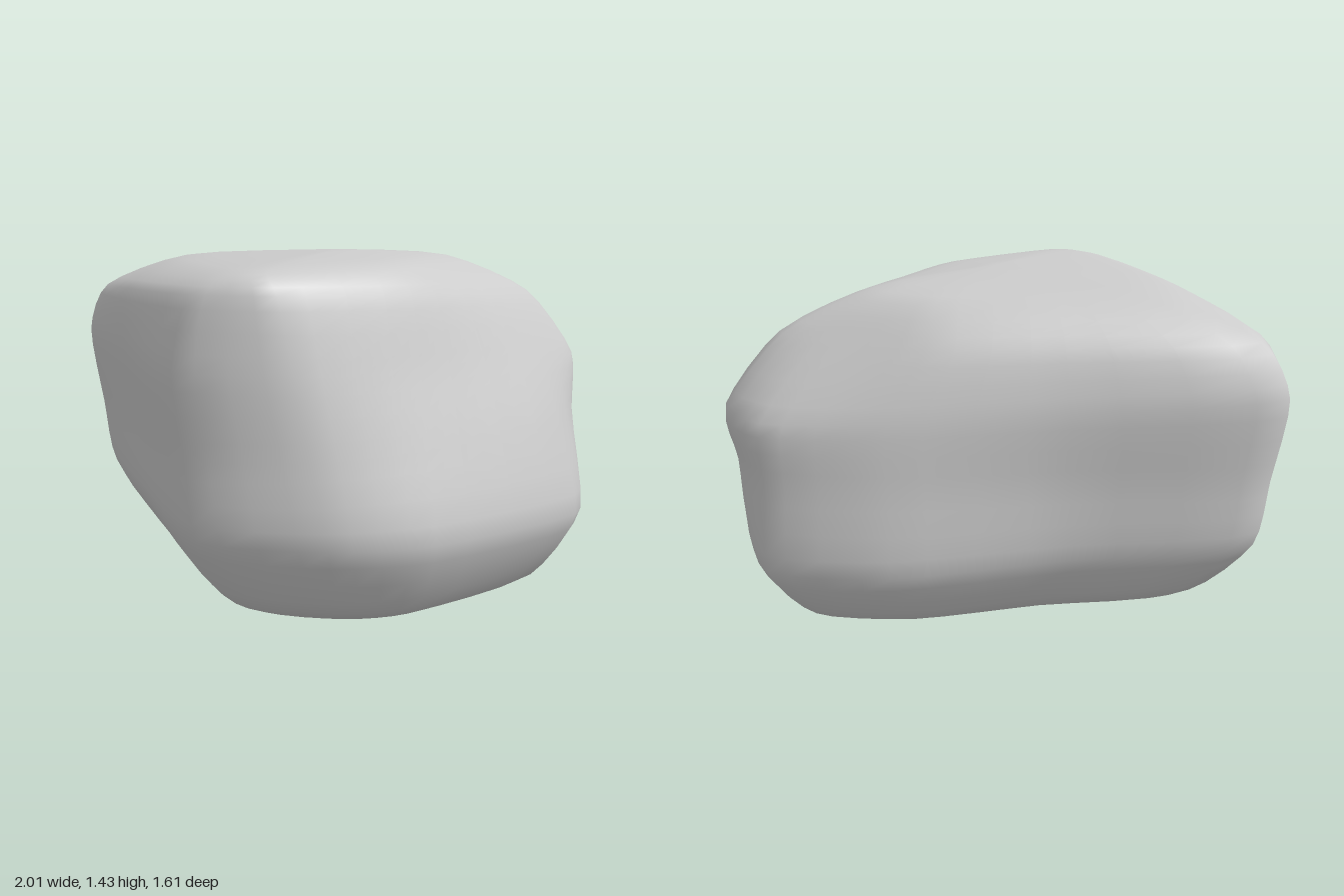
import * as THREE from 'three';

// Plan outlines [x, z], running left, front, right, back
const LOWER = [[-0.88, 0.05], [-0.79, 0.6], [-0.36, 0.79], [0.04, 0.79], [0.75, 0.51],
  [0.92, 0.1], [0.89, -0.39], [0.46, -0.6], [-0.2, -0.66], [-0.9, -0.75]];
const UPPER = [[-0.94, -0.05], [-0.85, 0.56], [-0.46, 0.71], [0.05, 0.59], [0.68, 0.3],
  [0.99, -0.02], [0.88, -0.32], [0.45, -0.51], [-0.2, -0.64], [-0.98, -0.78]];
const SHOULDER = [[-0.91, -0.1], [-0.78, 0.52], [-0.5, 0.66], [0.05, 0.49], [0.54, 0.2],
  [0.77, -0.03], [0.64, -0.2], [0.29, -0.44], [-0.2, -0.56], [-0.9, -0.69]];
const CROWN = [[-0.68, -0.1], [-0.62, 0.42], [-0.5, 0.56], [0, 0.38], [0.26, 0.12],
  [0.4, -0.03], [0.38, -0.14], [0.2, -0.28], [-0.2, -0.38], [-0.6, -0.42]];
const PLANS = [LOWER, UPPER, SHOULDER, CROWN];

// Levels: height, plan (fractions blend), scale x, scale z, shift x, shift z, slope x, slope z
const LEVELS = [
  [0.00, 0, 0, 0, -0.04, 0.17, 0, 0],
  [0.06, 0, 0.46, 0.46, 0, 0.06, -0.02, -0.08],
  [0.175, 0, 0.8, 0.82, 0, 0.01, -0.04, -0.06],
  [0.43, 0, 1, 1, 0, 0, -0.04, -0.02],
  [0.74, 0.5, 1, 1, 0, 0, 0, 0],
  [1.01, 1, 1, 1, 0, 0, -0.05, 0],
  [1.26, 2, 1, 1, 0, 0, -0.03, 0.05],
  [1.39, 3, 1, 1, 0, 0, 0, 0],
  [1.43, 3, 0, 0, -0.12, 0.08, 0, 0],
];
const STEPS = 4;
const AROUND = LOWER.length * STEPS, UP = (LEVELS.length - 1) * STEPS;
const spline = (pts, closed) => new THREE.CatmullRomCurve3(pts, closed, 'catmullrom', 0.35);

// One closed ring at a level, or a pole where the scale is zero
function ring([y, plan, sx, sz, cx, cz, kx, kz]) {
  if (sx === 0) return Array.from({ length: AROUND }, () => new THREE.Vector3(cx, y, cz));
  const from = PLANS[Math.floor(plan)], to = PLANS[Math.ceil(plan)];
  const pts = from.map(([x, z], i) => {
    const px = THREE.MathUtils.lerp(x, to[i][0], plan % 1) * sx + cx;
    const pz = THREE.MathUtils.lerp(z, to[i][1], plan % 1) * sz + cz;
    return new THREE.Vector3(px, y + kx * px + kz * pz, pz);
  });
  const curve = spline(pts, true);
  return Array.from({ length: AROUND }, (_, i) => curve.getPoint(i / AROUND));
}

function boulderGeometry() {
  const rings = LEVELS.map(ring);
  const positions = [], index = [];

  // Meridians through the rings, from bottom pole to top pole
  const meridians = Array.from({ length: AROUND }, (_, i) => spline(rings.map((r) => r[i]), false));
  for (let j = 0; j <= UP; j++) {
    for (const m of meridians) positions.push(...m.getPoint(j / UP).toArray());
  }

  // Skin; each pole uses a single shared vertex
  const id = (i, j) => j * AROUND + (j === 0 || j === UP ? 0 : i % AROUND);
  const tri = (a, b, c) => {
    if (a !== b && b !== c && c !== a) index.push(a, b, c);
  };
  for (let j = 0; j < UP; j++) {
    for (let i = 0; i < AROUND; i++) {
      const a = id(i, j), b = id(i + 1, j), c = id(i + 1, j + 1), d = id(i, j + 1);
      tri(a, b, c);
      tri(a, c, d);
    }
  }

  const geo = new THREE.BufferGeometry();
  geo.setAttribute('position', new THREE.Float32BufferAttribute(positions, 3));
  geo.setIndex(index);

  // Centre over the origin and rest on the ground
  geo.computeBoundingBox();
  const mid = geo.boundingBox.getCenter(new THREE.Vector3());
  geo.translate(-mid.x, -geo.boundingBox.min.y, -mid.z);
  geo.computeVertexNormals();
  return geo;
}

export function createModel() {
  const group = new THREE.Group();
  group.name = 'rock';
  const boulder = new THREE.Mesh(boulderGeometry(),
    new THREE.MeshStandardMaterial({ color: 0xcccccc }));
  boulder.name = 'boulder';
  group.add(boulder);
  return group;
}
